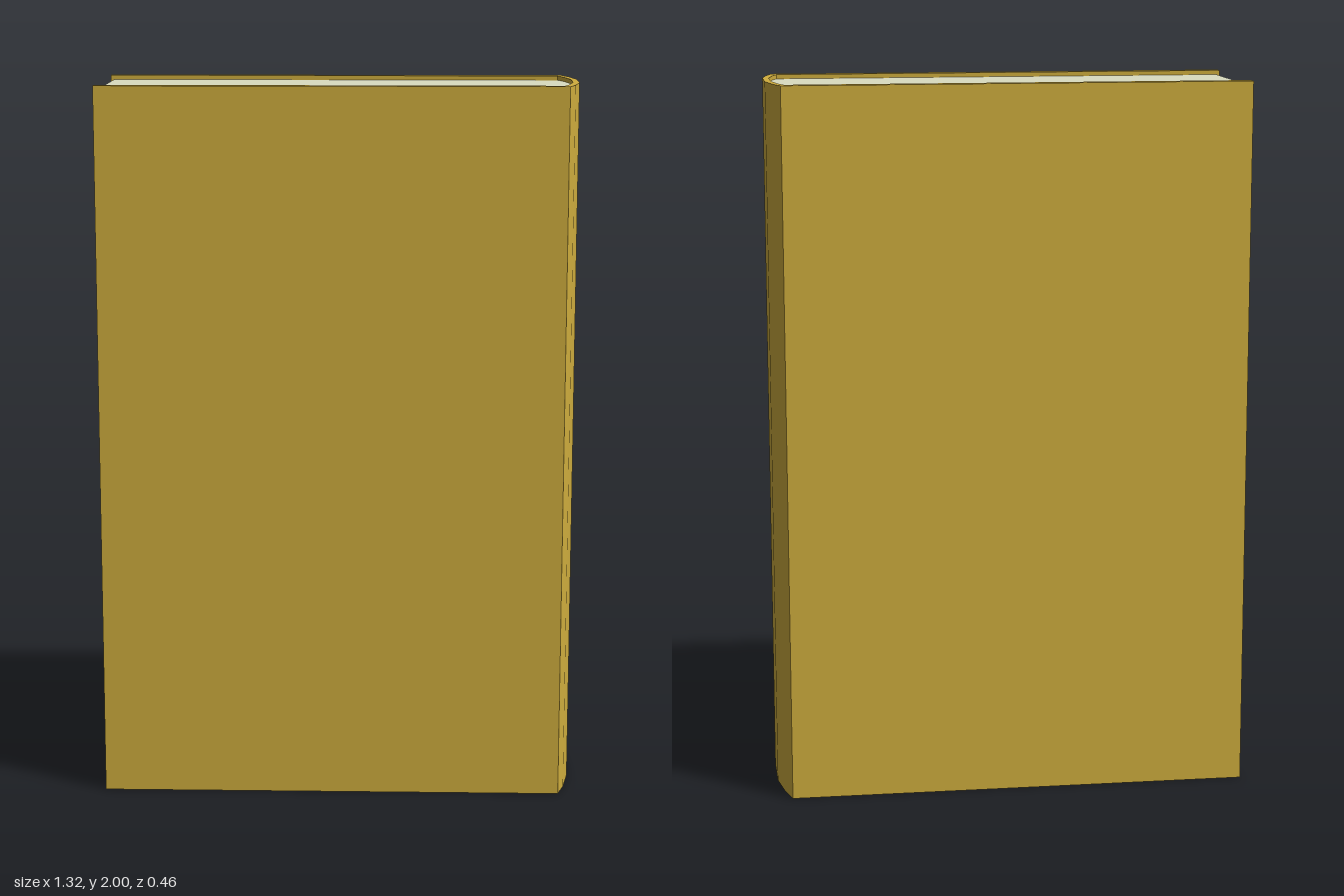
import * as THREE from 'three';
import { toCreasedNormals } from 'three/addons/utils/BufferGeometryUtils.js';

// Half-profiles of the rounded spine, as [x, z], from the board edge to the middle
const OUTER = [[0.628, 0.23], [0.646, 0.167], [0.662, 0.07]];
const INNER = [[0.616, 0.195], [0.631, 0.145], [0.645, 0.055]];

// Full spine curve from +z to -z
const mirrored = (half) => [...half, ...half.map(([x, z]) => [x, -z]).reverse()];

// Upright prism from an outline in the ground plane
function prism(points, bottom, top) {
  const shape = new THREE.Shape(points.map(([x, z]) => new THREE.Vector2(x, z)));
  const geometry = new THREE.ExtrudeGeometry(shape, { depth: top - bottom, bevelEnabled: false });
  geometry.rotateX(-Math.PI / 2);
  geometry.translate(0, bottom, 0);
  return toCreasedNormals(geometry, 0.6);
}

function addPart(group, name, geometry, color) {
  const mesh = new THREE.Mesh(geometry, new THREE.MeshStandardMaterial({ color }));
  mesh.name = name;
  group.add(mesh);
}

export function createModel() {
  const book = new THREE.Group();
  book.name = 'book';

  // Boards and curved spine wrap round as one U-shaped case
  const caseOutline = [
    [-0.662, 0.23], ...mirrored(OUTER), [-0.662, -0.23],
    [-0.662, -0.195], ...mirrored(INNER).reverse(), [-0.662, 0.195],
  ];
  addPart(book, 'cover', prism(caseOutline, 0, 2), 0xd0ae3e);

  // Page block, set in slightly at the top, bottom and fore edge
  const pageOutline = [[-0.652, 0.195], ...mirrored(INNER), [-0.652, -0.195]];
  addPart(book, 'pages', prism(pageOutline, 0.012, 1.988), 0xdadcc0);

  return book;
}
